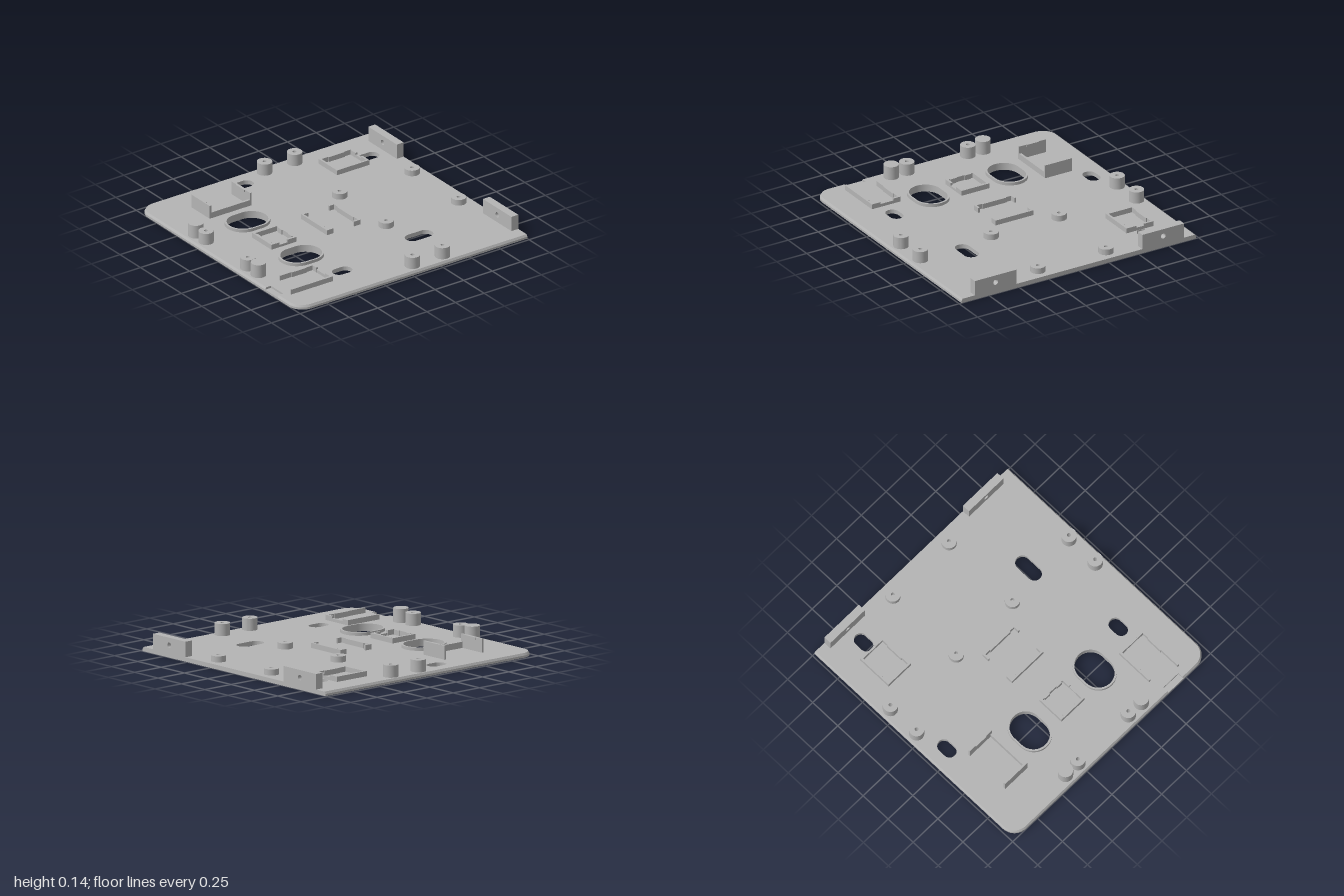
import * as THREE from 'three';
import { toCreasedNormals } from 'three/addons/utils/BufferGeometryUtils.js';

const TOP = 0.032, MID = 0.016, HALF_Z = 0.98, CORNER = 0.12;

// Stadium outline lying along x
function stadium(Kind, x, z, w, h) {
  const r = h / 2, d = w / 2 - r, p = new Kind();
  p.absarc(x + d, z, r, -Math.PI / 2, Math.PI / 2, false);
  p.absarc(x - d, z, r, Math.PI / 2, Math.PI * 1.5, false);
  p.closePath();
  return p;
}

function circle(Kind, x, z, r) {
  const p = new Kind();
  p.absarc(x, z, r, 0, Math.PI * 2, false);
  return p;
}

// Upright prism from a plan outline drawn in x and z
function prism(shape, y0, y1) {
  const g = new THREE.ExtrudeGeometry(shape, { depth: y1 - y0, bevelEnabled: false, curveSegments: 16 });
  return g.rotateX(Math.PI / 2).translate(0, y1, 0);
}

export function createModel() {
  const model = new THREE.Group();
  model.name = 'mountingPlate';
  const grey = new THREE.MeshStandardMaterial({ color: 0xb4b4b4 });
  grey.name = 'grey plastic';

  function add(parent, name, geometry) {
    const mesh = new THREE.Mesh(geometry.index ? geometry : toCreasedNormals(geometry, 0.5), grey);
    mesh.name = name;
    parent.add(mesh);
    return mesh;
  }
  function group(name) {
    const g = new THREE.Group();
    g.name = name;
    model.add(g);
    return g;
  }
  // Block from plan limits, standing on the plate
  function wall(parent, name, x0, x1, z0, z1, y1 = 0.07, y0 = 0.028) {
    const g = new THREE.BoxGeometry(x1 - x0, y1 - y0, z1 - z0);
    add(parent, name, g.translate((x0 + x1) / 2, (y0 + y1) / 2, (z0 + z1) / 2));
  }

  // Base plate: two corners rounded, slots cut through
  const slots = [
    [-0.18, -0.835, 0.155, 0.1], [0.805, -0.68, 0.155, 0.1], [-0.4, 0.675, 0.155, 0.1],
    [0.366, 0.543, 0.225, 0.11], [-0.508, -0.33, 0.31, 0.235], [-0.508, 0.325, 0.31, 0.235],
  ];
  function plateShape(recessed) {
    const s = new THREE.Shape();
    s.moveTo(1, -HALF_Z);
    s.lineTo(1, HALF_Z);
    s.absarc(-1 + CORNER, HALF_Z - CORNER, CORNER, Math.PI / 2, Math.PI, false);
    if (recessed) [[-1, 0.725], [-0.95, 0.725], [-0.95, 0.575], [-1, 0.575]].forEach(p => s.lineTo(...p));
    s.absarc(-1 + CORNER, -HALF_Z + CORNER, CORNER, Math.PI, Math.PI * 1.5, false);
    s.closePath();
    s.holes = slots.map(a => stadium(THREE.Path, ...a));
    if (!recessed) for (const z of [-0.385, 0.38]) s.holes.push(circle(THREE.Path, -0.92, z, 0.01));
    return s;
  }
  add(model, 'plateBottom', prism(plateShape(false), 0, MID));

  // The upper layer draws in slightly at its outer rim
  const upper = prism(plateShape(true), MID, TOP), pos = upper.attributes.position;
  for (let i = 0; i < pos.count; i++) {
    if (pos.getY(i) < TOP - 0.001) continue;
    const x = pos.getX(i), z = pos.getZ(i);
    const qx = Math.max(x, -1 + CORNER);
    const qz = THREE.MathUtils.clamp(z, -HALF_Z + CORNER, HALF_Z - CORNER);
    if (Math.hypot(x - qx, z - qz) < CORNER - 0.002) continue;
    const k = 1 - 0.01 / CORNER;
    pos.setX(i, qx + (x - qx) * k);
    pos.setZ(i, qz + (z - qz) * k);
  }
  add(model, 'plateTop', upper);

  // Raised collars around the two large openings
  for (const [x, z, w, h] of slots.slice(4)) {
    const s = stadium(THREE.Shape, x, z, w + 0.03, h + 0.025);
    s.holes.push(stadium(THREE.Path, x, z, w, h));
    add(model, 'openingCollar', prism(s, TOP - 0.004, 0.055));
  }

  // Screw bosses and solid pins
  function boss(name, x, z, height, bore) {
    const s = circle(THREE.Shape, x, z, 0.055);
    if (bore) s.holes.push(circle(THREE.Path, x, z, 0.014));
    add(model, name, prism(s, TOP - 0.004, height));
  }
  for (const x of [0.053, 0.315]) for (const z of [-0.905, 0.9]) boss('tallBoss', x, z, 0.12, true);
  for (const x of [0.267, 0.9]) for (const z of [-0.288, 0.28]) boss('shortBoss', x, z, 0.076, true);
  for (const z of [-0.26, 0.25]) boss('edgeBoss', -0.92, z, 0.12, true);
  for (const z of [-0.385, 0.38]) boss('locatingPin', -0.92, z, 0.133, false);

  // Drilled end blocks on the square edge
  for (const z of [-0.705, 0.695]) {
    const s = new THREE.Shape();
    s.moveTo(-0.174, 0.01);
    s.lineTo(0.174, 0.01);
    s.lineTo(0.174, 0.145);
    s.lineTo(-0.174, 0.145);
    s.closePath();
    s.holes.push(circle(THREE.Path, 0, 0.09, 0.02));
    const g = new THREE.ExtrudeGeometry(s, { depth: 0.06, bevelEnabled: false, curveSegments: 16 });
    add(model, 'endBlock', g.rotateY(Math.PI / 2).translate(0.94, 0, z));
  }

  // Tall clip holder: two arms with lips joined by a low rail
  const clip = group('clipHolder');
  wall(clip, 'clipRail', -0.69, -0.323, -0.555, -0.537, 0.077);
  for (const side of [-1, 1]) {
    const arm = (name, a, b, ...rest) => {
      const x = [-0.5065 + side * a, -0.5065 + side * b].sort((p, q) => p - q);
      wall(clip, name, x[0], x[1], ...rest);
    };
    arm('clipArm', 0.169, 0.1835, -0.762, -0.537, 0.133);
    arm('clipLip', 0.163, 0.17, -0.70, -0.60, 0.133, 0.115);
  }

  // Small square frame with a lowered latch at the front
  const square = group('squareFrame');
  for (const [a, b, c] of [[-0.617, -0.602, -0.595], [-0.413, -0.398, -0.42]]) {
    wall(square, 'frameSide', a, b, -0.12, 0.115);
    wall(square, 'frameRib', Math.min(a, c), Math.max(b, c), -0.085, -0.035);
    wall(square, 'frameRib', Math.min(a, c), Math.max(b, c), 0.035, 0.085);
  }
  wall(square, 'frameBack', -0.603, -0.412, -0.12, -0.103);
  wall(square, 'frameFront', -0.603, -0.545, 0.098, 0.115);
  wall(square, 'frameFront', -0.475, -0.412, 0.098, 0.115);
  wall(square, 'frameLatch', -0.546, -0.474, 0.101, 0.115, 0.05);

  // Facing pair of channel rails
  const rails = group('channelRails');
  for (const side of [-1, 1]) {
    const rail = (name, a, b, z0, z1) => {
      const x = [-0.016 + side * a, -0.016 + side * b].sort((p, q) => p - q);
      wall(rails, name, x[0], x[1], z0, z1);
    };
    rail('railSpine', 0.132, 0.147, -0.16, 0.158);
    rail('railRib', 0.125, 0.133, -0.1, 0.1);
    rail('railEnd', 0.09, 0.133, -0.16, -0.145);
    rail('railEnd', 0.09, 0.133, 0.143, 0.158);
  }

  // Connector bay, open towards the rounded edge
  const bay = group('connectorBay');
  wall(bay, 'bayBack', -0.85, -0.55, 0.53, 0.546);
  wall(bay, 'bayFront', -0.914, -0.55, 0.754, 0.77);
  wall(bay, 'bayEnd', -0.566, -0.55, 0.545, 0.59);
  wall(bay, 'bayEnd', -0.566, -0.55, 0.7, 0.755);
  wall(bay, 'bayLatch', -0.564, -0.55, 0.589, 0.701, 0.055);
  wall(bay, 'bayRib', -0.75, -0.62, 0.545, 0.552);
  wall(bay, 'bayRib', -0.75, -0.62, 0.748, 0.755);

  // Rectangular frame near the end slot
  const frame = group('rectangularFrame');
  wall(frame, 'frameBack', 0.444, 0.727, -0.794, -0.778);
  wall(frame, 'frameFront', 0.444, 0.727, -0.583, -0.567);
  wall(frame, 'frameLeft', 0.444, 0.46, -0.779, -0.582);
  wall(frame, 'frameRight', 0.711, 0.727, -0.779, -0.715);
  wall(frame, 'frameRight', 0.711, 0.727, -0.65, -0.582);
  wall(frame, 'frameLatch', 0.713, 0.727, -0.716, -0.649, 0.055);
  wall(frame, 'frameRib', 0.52, 0.66, -0.779, -0.771);
  wall(frame, 'frameRib', 0.52, 0.66, -0.59, -0.582);

  return model;
}
